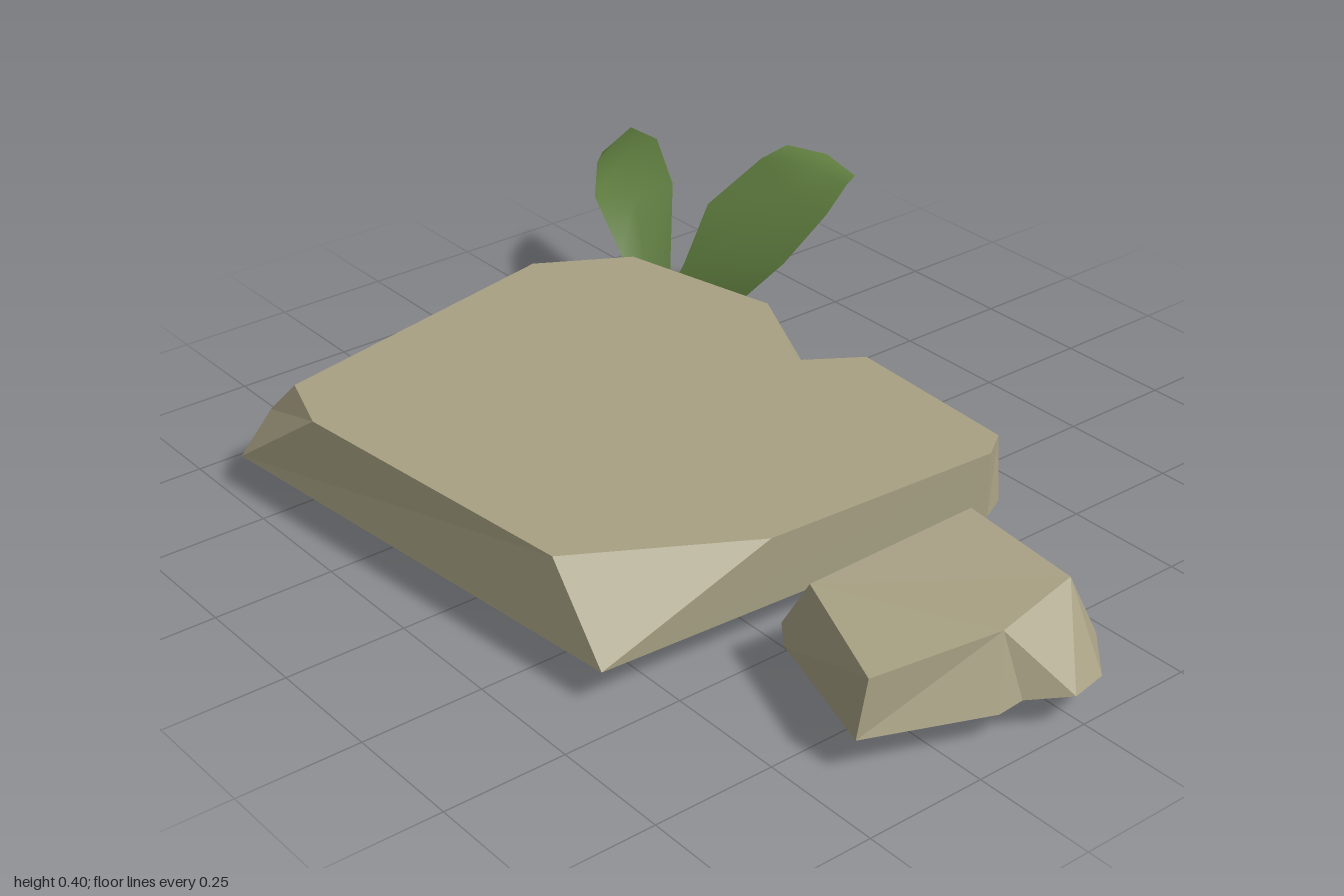
import * as THREE from 'three';

const stone = new THREE.MeshStandardMaterial({ color: 0xa8a184, side: THREE.DoubleSide });
stone.name = 'sandy stone';
const green = new THREE.MeshStandardMaterial({ color: 0x5f7d3f, side: THREE.DoubleSide });
green.name = 'leaf green';

// Flat facets: each face is a list of point indices, drawn as a fan
function facets(name, points, faces) {
  const pos = [];
  for (const f of faces)
    for (let i = 1; i < f.length - 1; i++)
      for (const k of [f[0], f[i], f[i + 1]]) pos.push(...points[k]);
  const geo = new THREE.BufferGeometry();
  geo.setAttribute('position', new THREE.Float32BufferAttribute(pos, 3));
  geo.computeVertexNormals();
  const mesh = new THREE.Mesh(geo, stone);
  mesh.name = name;
  return mesh;
}

// Curved leaf: each row has a left and a right edge point, joined by a sagging rib
function leaf(name, rows, sag) {
  const pos = [], index = [];
  rows.forEach(([l, r], j) => {
    const s = sag * Math.sin(Math.PI * j / (rows.length - 1));
    const mid = l.map((v, i) => (v + r[i]) / 2 - (i === 1 ? s : 0));
    pos.push(...l, ...mid, ...r);
    if (j === 0) return;
    for (let i = 0; i < 2; i++) {
      const a = (j - 1) * 3 + i, b = j * 3 + i;
      index.push(a, a + 1, b + 1, a, b + 1, b);
    }
  });
  const geo = new THREE.BufferGeometry();
  geo.setAttribute('position', new THREE.Float32BufferAttribute(pos, 3));
  geo.setIndex(index);
  geo.computeVertexNormals();
  const mesh = new THREE.Mesh(geo, green);
  mesh.name = name;
  return mesh;
}

export function createModel() {
  const group = new THREE.Group();
  group.name = 'stoneSlabWithLeaves';

  // Large slab, open underneath: bottom ring, top ring, chipped front corner
  const ring = (y, pts) => pts.map(([x, z]) => [x, y, z]);
  const slab = [
    ...ring(0.065, [[-0.64, 0.71], [0.42, 0.61], [0.47, -0.28], [0.44, -0.34], [0.03, -0.36],
      [-0.12, -0.365], [-0.28, -0.36], [-0.57, -0.33], [-0.67, -0.3], [-0.79, -0.1]]),
    ...ring(0.205, [[-0.6, 0.6], [-0.45, 0.65], [0.24, 0.58], [0.44, 0.24], [0.47, -0.28],
      [0.43, -0.34], [0.03, -0.36], [-0.05, -0.24], [-0.28, -0.36], [-0.64, -0.28], [-0.75, -0.09]]),
    [-0.65, 0.14, 0.63],
  ];
  group.add(facets('slab', slab, [
    [17, 18, 19, 20, 10, 11, 12, 13, 14, 15, 16],
    [0, 1, 12, 11], [0, 11, 21], [21, 11, 10],
    [1, 13, 12], [1, 2, 14, 13], [2, 3, 15, 14], [3, 4, 16, 15],
    [4, 17, 16], [4, 5, 17], [5, 18, 17], [5, 6, 18],
    [6, 7, 19, 18], [7, 8, 19], [8, 9, 20, 19], [9, 21, 10, 20], [9, 0, 21],
  ]));

  // Small rock beside the slab, open underneath
  const rock = [
    [0.505, 0.07, 0.27], [0.56, 0.065, 0.31], [0.85, 0.065, 0.4], [0.94, 0.055, 0.15], [0.945, 0.065, 0.1],
    [0.995, 0.065, 0.02], [0.98, 0.065, -0.06], [0.88, 0.065, -0.15], [0.67, 0.065, -0.17], [0.6, 0.065, -0.03],
    [0.58, 0.19, 0.27], [0.845, 0.175, 0.37], [0.9, 0.19, 0.11], [0.89, 0.225, -0.06], [0.66, 0.265, -0.04],
  ];
  group.add(facets('smallRock', rock, [
    [10, 11, 12], [10, 12, 13, 14],
    [0, 1, 10], [1, 2, 11, 10], [2, 3, 12, 11], [3, 4, 12], [4, 5, 12], [5, 13, 12],
    [5, 6, 13], [6, 7, 13], [7, 8, 14, 13], [8, 9, 14], [9, 0, 10, 14],
  ]));

  // Two leaves growing from behind the slab
  group.add(leaf('broadLeaf', [
    [[-0.6, 0.02, -0.28], [-0.46, 0, -0.3]],
    [[-0.6, 0.17, -0.39], [-0.4, 0.15, -0.37]],
    [[-0.64, 0.27, -0.49], [-0.335, 0.25, -0.45]],
    [[-0.6, 0.36, -0.61], [-0.335, 0.33, -0.57]],
    [[-0.56, 0.395, -0.65], [-0.36, 0.37, -0.65]],
    [[-0.5, 0.375, -0.715], [-0.39, 0.365, -0.7]],
  ], 0.015));
  group.add(leaf('narrowLeaf', [
    [[-0.6, 0.06, -0.28], [-0.55, 0.03, -0.31]],
    [[-0.7, 0.19, -0.29], [-0.61, 0.19, -0.36]],
    [[-0.83, 0.27, -0.32], [-0.74, 0.29, -0.47]],
    [[-0.94, 0.29, -0.41], [-0.86, 0.345, -0.52]],
    [[-1, 0.28, -0.47], [-0.97, 0.335, -0.53]],
  ], 0.015));
  return group;
}
